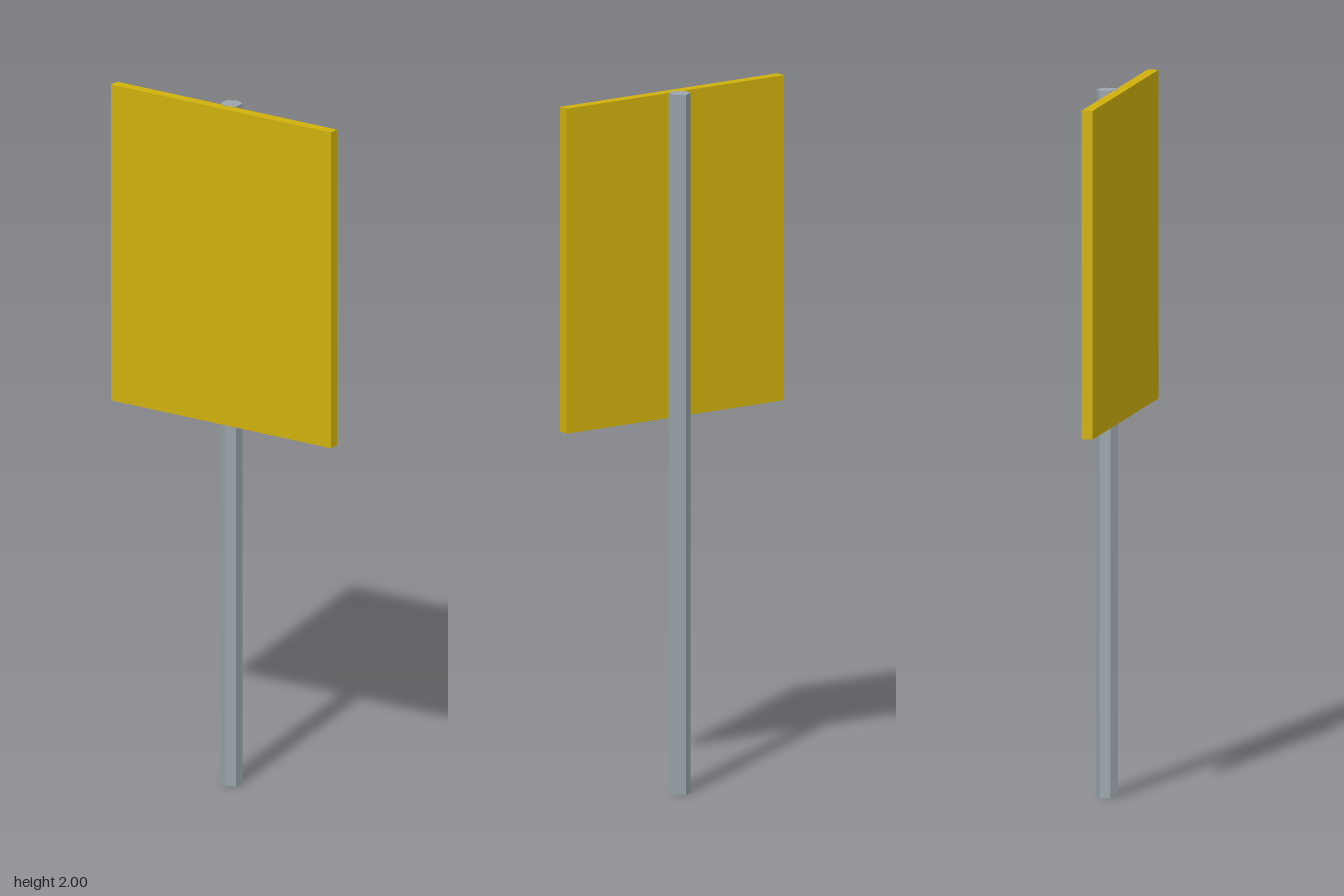
import * as THREE from 'three';

export function createModel() {
  const group = new THREE.Group();
  const yellow = new THREE.MeshStandardMaterial({ color: 0xcfb00c, flatShading: true });
  yellow.name = 'sign yellow';
  const grey = new THREE.MeshStandardMaterial({ color: 0x9aa4ab, flatShading: true });
  grey.name = 'post grey';

  // Six-sided post, with one corner sunk into the back of the panel
  const post = new THREE.Mesh(new THREE.CylinderGeometry(0.031, 0.031, 2, 6), grey);
  post.name = 'post';
  post.position.set(0, 1, -0.011);

  // Blank sign panel, a hair below the post top so the caps do not overlap
  const bottom = 1.07, top = 1.999;
  const panel = new THREE.Mesh(new THREE.BoxGeometry(0.746, top - bottom, 0.031), yellow);
  panel.name = 'signPanel';
  panel.position.set(0, (top + bottom) / 2, 0.0255);

  group.add(post, panel);
  return group;
}
